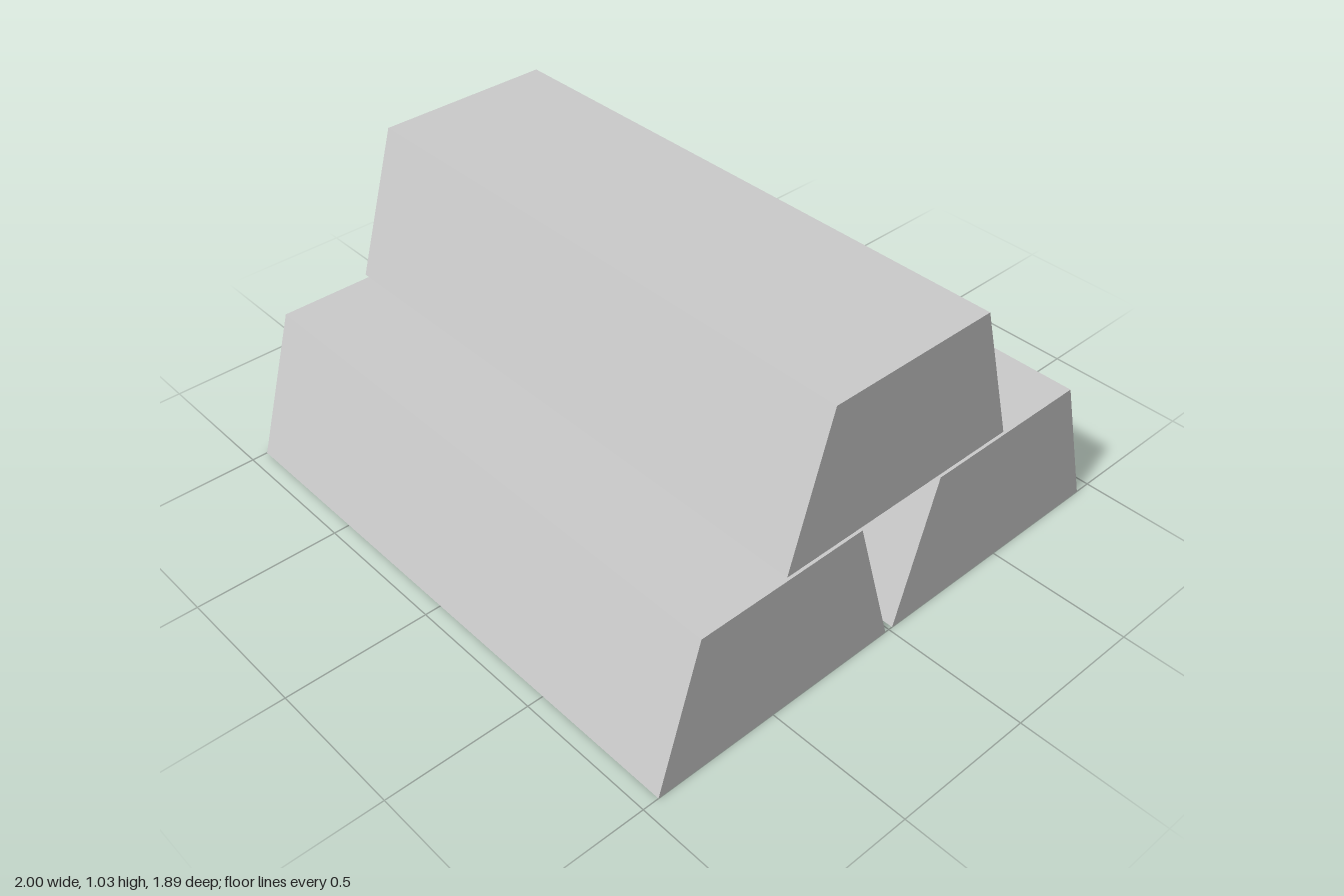
import * as THREE from 'three';

const LENGTH = 2;
const HEIGHT = 0.508;
const HALF_BASE = 0.464;
const HALF_TOP = 0.311;

// Trapezoid cross-section extruded along x, resting on y = 0
function createBarGeometry() {
  const section = new THREE.Shape([
    new THREE.Vector2(-HALF_BASE, 0),
    new THREE.Vector2(HALF_BASE, 0),
    new THREE.Vector2(HALF_TOP, HEIGHT),
    new THREE.Vector2(-HALF_TOP, HEIGHT),
  ]);
  const geometry = new THREE.ExtrudeGeometry(section, { depth: LENGTH, bevelEnabled: false });
  geometry.translate(0, 0, -LENGTH / 2);
  geometry.rotateY(Math.PI / 2);
  return geometry;
}

export function createModel() {
  const group = new THREE.Group();
  group.name = 'ingotStack';
  const material = new THREE.MeshStandardMaterial({ color: 0xcccccc, flatShading: true });
  const geometry = createBarGeometry();

  // Two bars side by side with a third bridging them
  const bars = [
    { name: 'frontIngot', y: 0, z: 0.48 },
    { name: 'backIngot', y: 0, z: -0.479 },
    { name: 'topIngot', y: 0.523, z: 0.009 },
  ];
  for (const { name, y, z } of bars) {
    const bar = new THREE.Mesh(geometry, material);
    bar.name = name;
    bar.position.set(0, y, z);
    group.add(bar);
  }
  return group;
}
